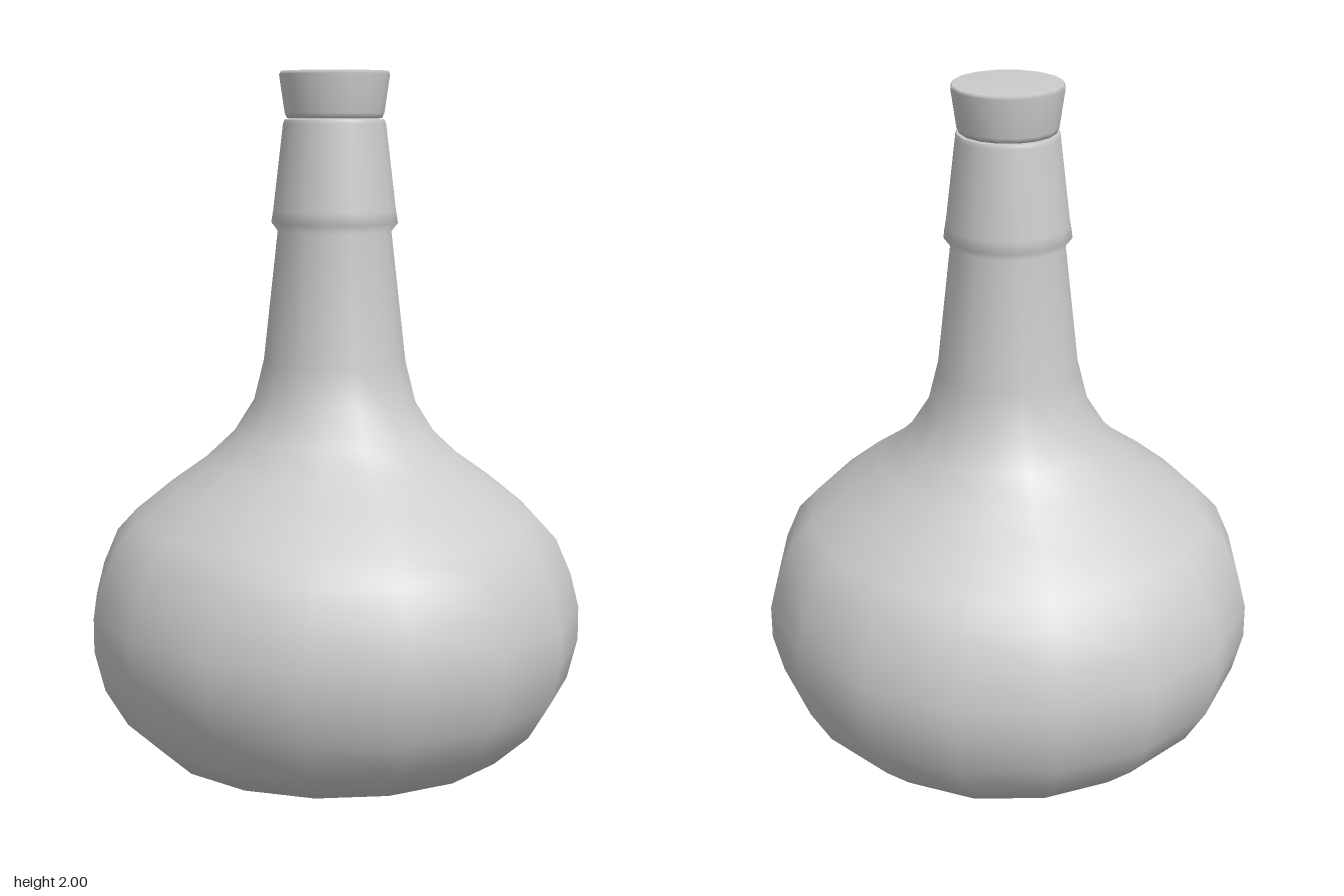
import * as THREE from 'three';

const SIDES = 16;

// Turned part from [radius, height] pairs, listed bottom to top
function turned(name, profile, material) {
  const points = profile.map(([r, y]) => new THREE.Vector2(r, y));
  const mesh = new THREE.Mesh(new THREE.LatheGeometry(points, SIDES), material);
  mesh.name = name;
  return mesh;
}

export function createModel() {
  const model = new THREE.Group();
  model.name = 'stopperedBottle';
  const material = new THREE.MeshStandardMaterial({ color: 0xcccccc });

  // Squat body with flat base, flowing into the neck and its flared collar
  model.add(turned('bottle', [
    [0, 0], [0.53, 0.005], [0.635, 0.1], [0.7, 0.21], [0.73, 0.33], [0.73, 0.43],
    [0.705, 0.53], [0.66, 0.635], [0.6, 0.7], [0.49, 0.79], [0.385, 0.865],
    [0.3, 0.945], [0.24, 1.04], [0.21, 1.16], [0.167, 1.54],
    [0.186, 1.565], [0.18, 1.6], [0.15, 1.85], [0.145, 1.862],
  ], material));

  // Flat lip closing the mouth around the stopper
  model.add(turned('lip', [[0.145, 1.862], [0, 1.862]], material));

  // Stopper, widening upward
  model.add(turned('stopper', [
    [0, 1.865], [0.138, 1.865], [0.145, 1.88], [0.161, 1.99], [0.156, 2], [0, 2],
  ], material));

  return model;
}
